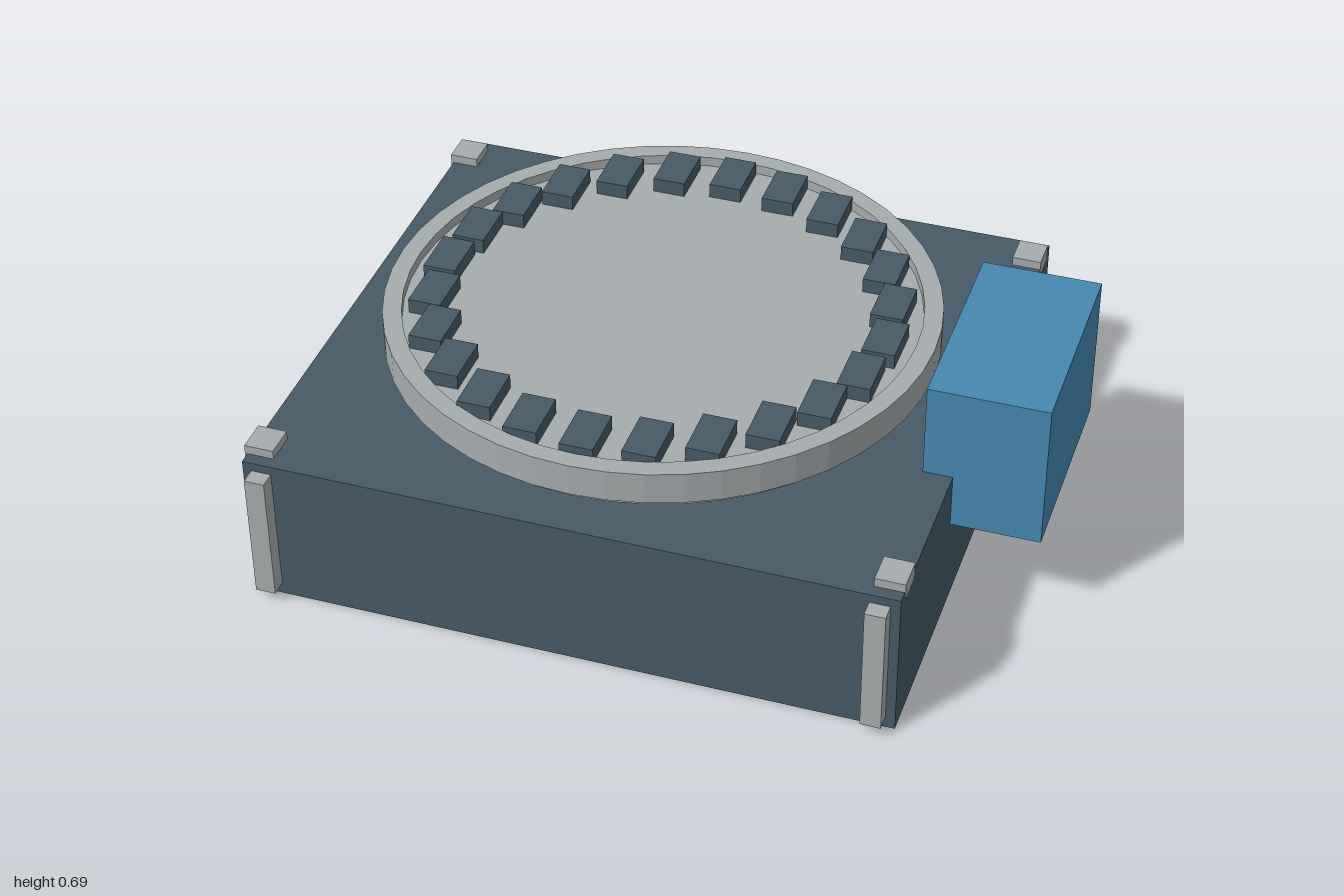
import * as THREE from 'three';

export function createModel() {
  const model = new THREE.Group();
  model.name = 'carouselMachine';

  const material = (name, color) => {
    const m = new THREE.MeshStandardMaterial({ color, flatShading: true });
    m.name = name;
    return m;
  };
  const slate = material('slate', 0x465a67);
  const grey = material('lightGrey', 0xa6abad);
  const blue = material('blue', 0x4588b0);

  const add = (name, geometry, mat, x, y, z, parent = model) => {
    const mesh = new THREE.Mesh(geometry, mat);
    mesh.name = name;
    mesh.position.set(x, y, z);
    parent.add(mesh);
    return mesh;
  };
  // Box given by its limits on each axis
  const addBox = (name, mat, [x0, x1], [y0, y1], [z0, z1]) =>
    add(name, new THREE.BoxGeometry(x1 - x0, y1 - y0, z1 - z0), mat,
      (x0 + x1) / 2, (y0 + y1) / 2, (z0 + z1) / 2);

  // Cabinet and side drive unit
  addBox('base', slate, [-0.993, 0.76], [0, 0.425], [-0.82, 0.773]);
  addBox('driveUnit', blue, [0.68, 1], [0.27, 0.69], [-0.313, 0.27]);

  // Corner pads and front rails
  for (const x of [-0.96, 0.722]) {
    for (const z of [-0.74, 0.695]) {
      add('cornerPad', new THREE.BoxGeometry(0.08, 0.05, 0.088), grey, x, 0.425, z);
    }
  }
  for (const x of [-0.942, 0.707]) {
    add('frontRail', new THREE.BoxGeometry(0.055, 0.367, 0.05), grey, x, 0.217, 0.793);
  }

  // Turntable: disc with a raised rim
  const turntable = new THREE.Group();
  turntable.name = 'turntable';
  turntable.position.set(-0.118, 0, -0.024);
  model.add(turntable);
  add('disc', new THREE.CylinderGeometry(0.717, 0.717, 0.09, 48), grey, 0, 0.517, 0, turntable);
  const rimProfile = [[0.695, 0.5], [0.746, 0.5], [0.746, 0.59], [0.695, 0.59], [0.695, 0.5]]
    .map(([r, y]) => new THREE.Vector2(r, y));
  add('rim', new THREE.LatheGeometry(rimProfile, 48), grey, 0, 0, 0, turntable);

  // Ring of slots, all aligned with the cabinet
  const slot = new THREE.BoxGeometry(0.09, 0.05, 0.146);
  const count = 24;
  for (let i = 0; i < count; i++) {
    const a = (i / count) * Math.PI * 2;
    add('slot', slot, slate, Math.cos(a) * 0.612, 0.579, Math.sin(a) * 0.612, turntable);
  }

  return model;
}
